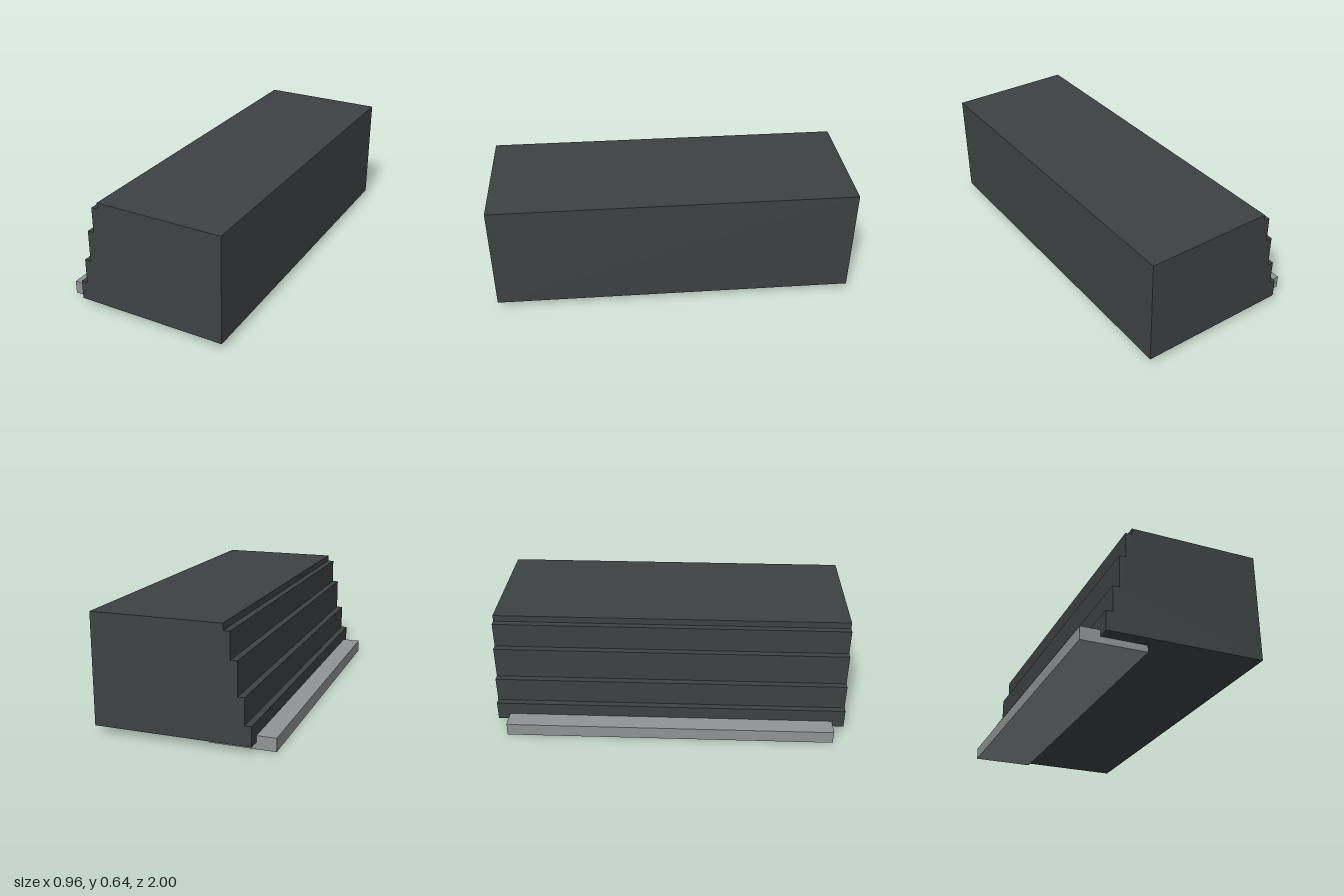
import * as THREE from 'three';

export function createModel() {
  const group = new THREE.Group();
  const darkStone = new THREE.MeshStandardMaterial({ color: 0x3c4242 });
  darkStone.name = 'darkStone';
  const paleStone = new THREE.MeshStandardMaterial({ color: 0x8f9494 });
  paleStone.name = 'paleStone';

  // Block with a stepped side: each step is [left edge x, top y]
  const right = 0.481, bottom = 0.037, length = 2;
  const steps = [[-0.376, 0.144], [-0.34, 0.286], [-0.304, 0.466], [-0.268, 0.608], [-0.232, 0.644]];
  const profile = new THREE.Shape();
  profile.moveTo(right, bottom);
  profile.lineTo(right, steps[steps.length - 1][1]);
  for (let i = steps.length - 1; i >= 0; i--) {
    const [x, top] = steps[i];
    profile.lineTo(x, top);
    profile.lineTo(x, i > 0 ? steps[i - 1][1] : bottom);
  }
  profile.closePath();
  const blockGeometry = new THREE.ExtrudeGeometry(profile, { depth: length, bevelEnabled: false });
  blockGeometry.translate(0, 0, -length / 2);
  const block = new THREE.Mesh(blockGeometry, darkStone);
  block.name = 'steppedBlock';
  group.add(block);

  // Pale slab set into the underside, projecting past the lowest step
  const slab = new THREE.Mesh(new THREE.BoxGeometry(0.356, 0.072, 1.86), paleStone);
  slab.name = 'baseSlab';
  slab.position.set(-0.303, 0.036, 0);
  group.add(slab);

  return group;
}
